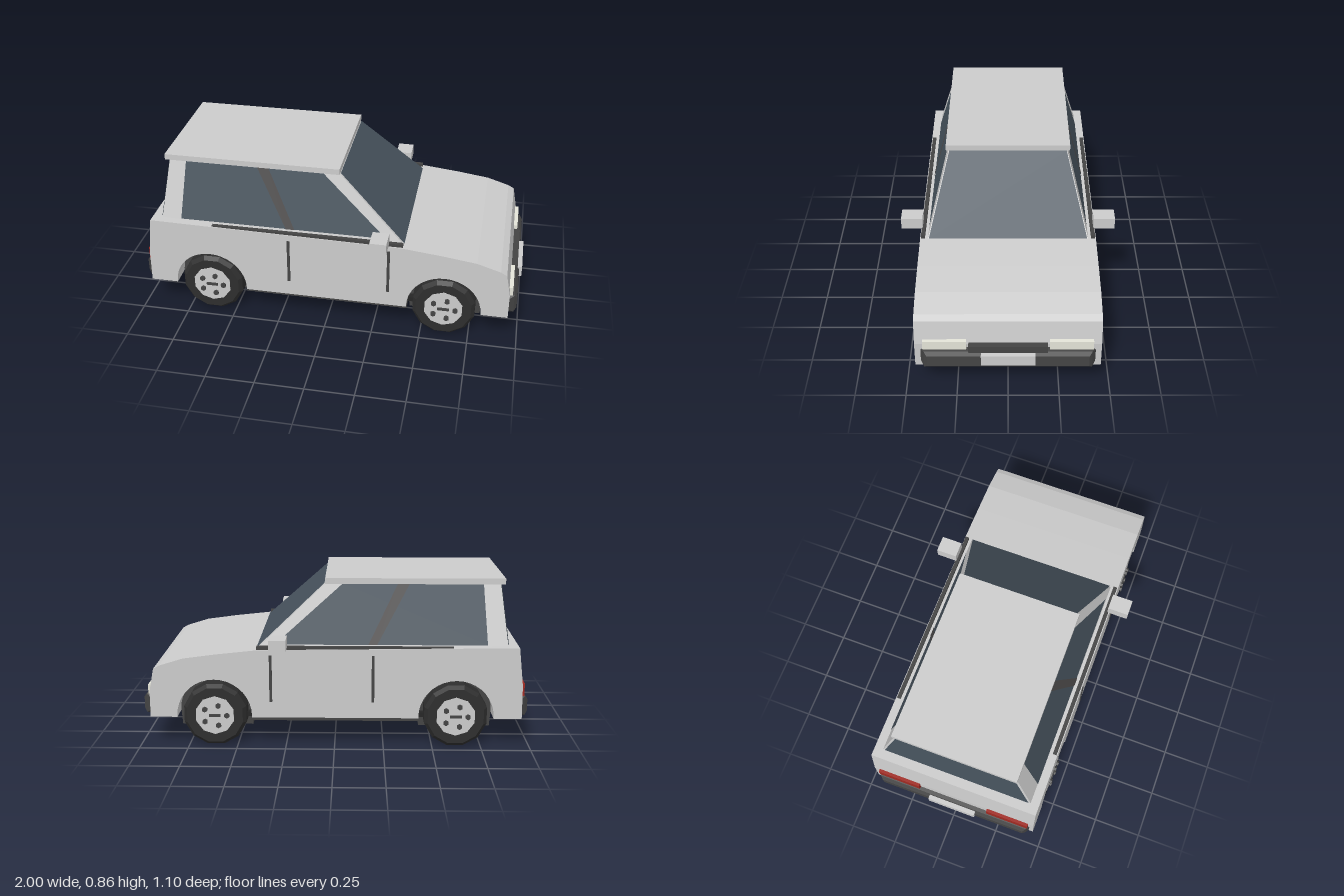
import * as THREE from 'three';
import { ConvexGeometry } from 'three/addons/geometries/ConvexGeometry.js';

const mat = (color, side = THREE.FrontSide) => new THREE.MeshStandardMaterial({ color, side, flatShading: true });
const GREY = mat(0xcccccc), DARK = mat(0x444444), TYRE = mat(0x2e2e2e), UNDER = mat(0x262626);
const GLASS = mat(0x46525c, THREE.DoubleSide), PILLAR = mat(0x4c4a4a, THREE.DoubleSide);
const LAMP = mat(0xe4e4d8), RED = mat(0xa02a22);
const AXLES = [-0.62, 0.615], AXLE_Y = 0.163, ARCH_R = 0.192;

export function createModel() {
  const car = new THREE.Group();
  car.name = 'car';

  const add = (name, geometry, material, parent = car) => {
    const mesh = new THREE.Mesh(geometry, material);
    mesh.name = name;
    parent.add(mesh);
    return mesh;
  };
  // Box given by its limits on each axis
  const box = (name, [x0, x1], [y0, y1], [z0, z1], material) => {
    const m = add(name, new THREE.BoxGeometry(x1 - x0, y1 - y0, z1 - z0), material);
    m.position.set((x0 + x1) / 2, (y0 + y1) / 2, (z0 + z1) / 2);
    return m;
  };
  // Side outline extruded across the car, centred on z = 0
  const across = (name, shape, width, material) => {
    const g = new THREE.ExtrudeGeometry(shape, { depth: width, bevelEnabled: false, curveSegments: 9 });
    return add(name, g.translate(0, 0, -width / 2), material);
  };
  // Flat four-cornered panel
  const panel = (name, corners, material) => {
    const g = new THREE.BufferGeometry();
    g.setAttribute('position', new THREE.Float32BufferAttribute(corners.flat(), 3));
    g.setIndex([0, 1, 2, 0, 2, 3]);
    g.computeVertexNormals();
    return add(name, g, material);
  };

  // Lower body with wheel arches
  const outline = new THREE.Shape();
  outline.moveTo(-0.955, 0.155);
  for (const x of AXLES) {
    outline.lineTo(x - ARCH_R, 0.155);
    outline.absarc(x, AXLE_Y, ARCH_R, Math.PI, 0, true);
    outline.lineTo(x + ARCH_R, 0.155);
  }
  for (const [x, y] of [[0.945, 0.155], [0.945, 0.29], [0.922, 0.41], [0.89, 0.428], [0.77, 0.465],
    [0.6, 0.488], [0.395, 0.51], [-0.93, 0.528], [-0.953, 0.33]]) outline.lineTo(x, y);
  across('body', outline, 0.9, GREY);

  // Cabin: tapered shell under a flat roof
  const sideZ = (y) => 0.41 - (y - 0.51) * 0.3125;
  const corners = [];
  for (const s of [-1, 1]) {
    for (const [x, y] of [[-0.88, 0.51], [0.393, 0.51], [-0.842, 0.835], [0.042, 0.835]]) {
      corners.push(new THREE.Vector3(x, y, s * sideZ(y)));
    }
  }
  add('cabin', new ConvexGeometry(corners), GREY);
  box('roof', [-0.865, 0.05], [0.828, 0.858], [-0.325, 0.325], GREY);

  // Windscreen and rear window
  panel('windscreen', [[0.398, 0.513, 0.405], [0.398, 0.513, -0.405],
    [0.054, 0.83, -0.307], [0.054, 0.83, 0.307]], GLASS);
  panel('rearWindow', [[-0.882, 0.53, -0.395], [-0.882, 0.53, 0.395],
    [-0.847, 0.83, 0.3], [-0.847, 0.83, -0.3]], GLASS);

  for (const s of [-1, 1]) {
    const side = s > 0 ? 'left' : 'right';
    // Side panel between two heights, lifted slightly off the shell
    const sidePanel = (name, bottom, top, lift, material) => panel(`${side}${name}`, [
      [bottom[0], 0.53, s * (sideZ(0.53) + lift)], [bottom[1], 0.53, s * (sideZ(0.53) + lift)],
      [top[1], 0.829, s * (sideZ(0.829) + lift)], [top[0], 0.829, s * (sideZ(0.829) + lift)]], material);
    sidePanel('SideWindow', [-0.775, 0.305], [-0.755, -0.04], 0.003, GLASS);
    sidePanel('DoorPillar', [-0.215, -0.17], [-0.38, -0.32], 0.006, PILLAR);

    const z = (a, b) => (s > 0 ? [a, b] : [-b, -a]);
    box(`${side}WindowTrim`, [-0.6, 0.395], [0.512, 0.529], z(0.425, 0.445), DARK);
    for (const x of [-0.195, 0.325]) box(`${side}DoorSeam`, [x - 0.007, x + 0.007], [0.24, 0.485], z(0.44, 0.455), DARK);
    box(`${side}Mirror`, [0.24, 0.325], [0.525, 0.585], z(0.44, 0.55), GREY);
    box(`${side}Headlight`, [0.92, 0.96], [0.268, 0.315], z(0.2, 0.41), LAMP);
    box(`${side}TailLight`, [-0.968, -0.93], [0.268, 0.335], z(0.19, 0.42), RED);
  }

  // Bumpers with chamfered ends, and number plates
  for (const [name, dir, inner, outer, half] of [['front', 1, 0.94, 0.985, 0.425], ['rear', -1, 0.945, 0.988, 0.435]]) {
    const pts = [];
    for (const s of [-1, 1]) {
      for (const [x, y, z] of [[inner, 0.165, half - 0.02], [inner, 0.27, half - 0.02], [inner, 0.19, half], [inner, 0.25, half],
        [outer - 0.015, 0.165, half - 0.02], [outer - 0.015, 0.265, half - 0.02], [outer, 0.185, half - 0.035], [outer, 0.245, half - 0.035]]) {
        pts.push(new THREE.Vector3(dir * x, y, s * z));
      }
    }
    add(`${name}Bumper`, new ConvexGeometry(pts), DARK);
    box(`${name}Plate`, dir > 0 ? [0.97, 1] : [-1, -0.97], [0.202, 0.26], [-0.13, 0.13], GREY);
  }
  box('grille', [0.92, 0.975], [0.25, 0.297], [-0.19, 0.19], DARK);

  // Floor and the liners filling the arches between the wheels
  box('floor', [-0.5, 0.5], [0.135, 0.16], [-0.37, 0.37], UNDER);
  box('sill', [-0.43, 0.425], [0.135, 0.165], [-0.435, 0.435], DARK);
  for (const x of AXLES) {
    const liner = new THREE.Shape();
    liner.moveTo(x - 0.185, 0.08);
    liner.lineTo(x + 0.185, 0.08);
    liner.lineTo(x + ARCH_R, AXLE_Y);
    liner.absarc(x, AXLE_Y, ARCH_R, 0, Math.PI, false);
    across('archLiner', liner, 0.67, DARK);
  }

  // Wheels: tyre, rim, hub bar and bolts
  const tyreProfile = [[0.09, -0.065], [0.15, -0.065], [0.166, -0.05], [0.166, 0.045], [0.148, 0.065], [0.09, 0.065]]
    .map(([r, y]) => new THREE.Vector2(r, y));
  const tyreGeo = new THREE.LatheGeometry(tyreProfile, 12, Math.PI / 12).rotateX(Math.PI / 2);
  const rimGeo = new THREE.CylinderGeometry(0.102, 0.102, 0.134, 10).rotateX(Math.PI / 2);
  const boltGeo = new THREE.CylinderGeometry(0.014, 0.014, 0.02, 6).rotateX(Math.PI / 2);
  for (const x of AXLES) {
    for (const s of [-1, 1]) {
      const wheel = new THREE.Group();
      wheel.name = `${x > 0 ? 'front' : 'rear'}${s > 0 ? 'Left' : 'Right'}Wheel`;
      wheel.position.set(x, AXLE_Y, s * 0.378);
      if (s < 0) wheel.rotation.y = Math.PI;
      add('tyre', tyreGeo, TYRE, wheel);
      add('rim', rimGeo, GREY, wheel);
      add('hubBar', new THREE.BoxGeometry(0.06, 0.014, 0.012), DARK, wheel).position.z = 0.068;
      for (let i = 0; i < 5; i++) {
        const a = (i / 5) * Math.PI * 2;
        add('bolt', boltGeo, DARK, wheel).position.set(Math.cos(a) * 0.062, Math.sin(a) * 0.055, 0.07);
      }
      car.add(wheel);
    }
  }
  return car;
}
